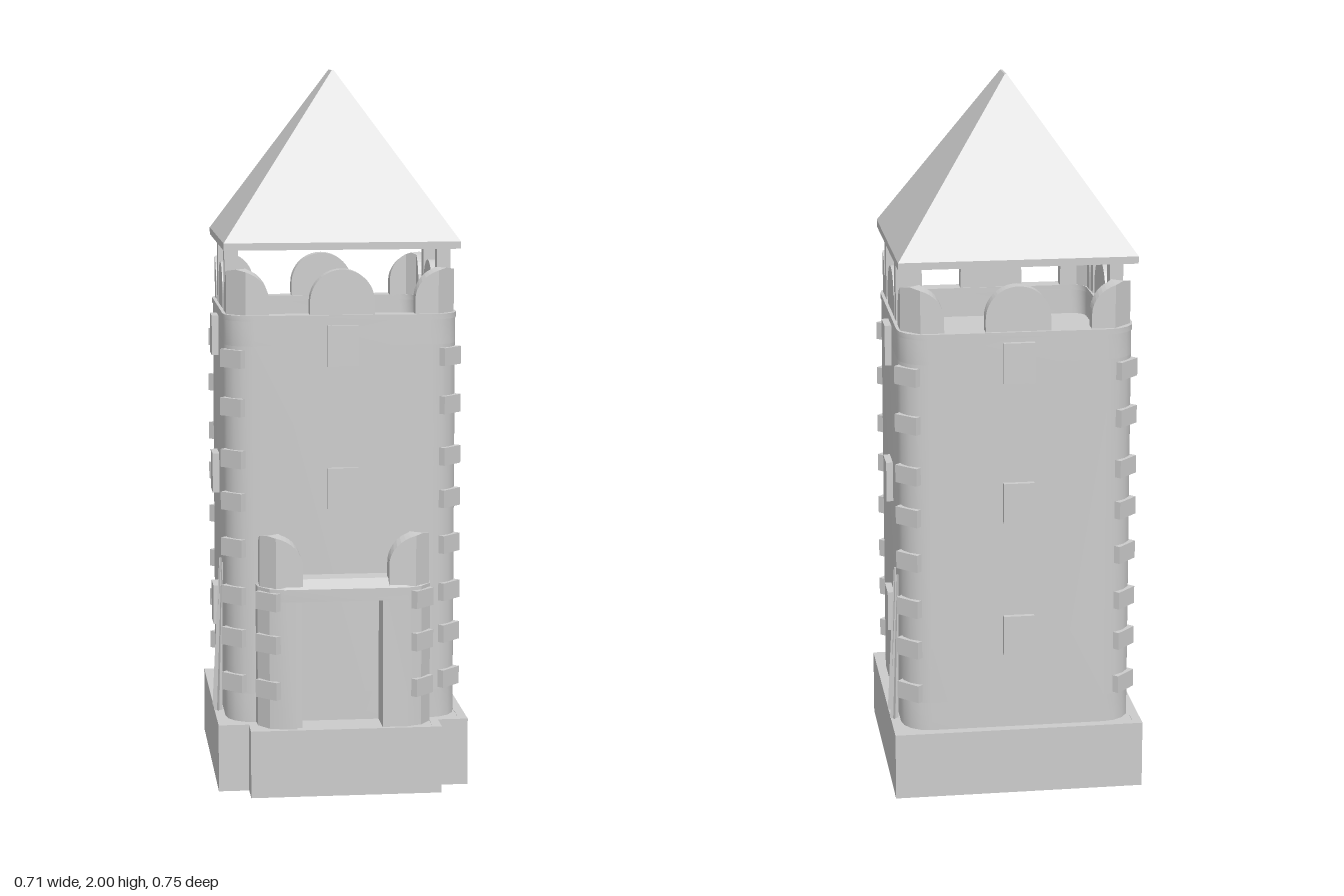
import * as THREE from 'three';
import { toCreasedNormals } from 'three/addons/utils/BufferGeometryUtils.js';

const mat = new THREE.MeshStandardMaterial({ color: 0xcccccc });
const shellMat = new THREE.MeshStandardMaterial({ color: 0xcccccc, side: THREE.DoubleSide });
const CZ = -0.04; // tower centre in z

function add(parent, name, geometry, x = 0, y = 0, z = 0, material = mat) {
  const mesh = new THREE.Mesh(geometry, material);
  mesh.name = name;
  mesh.position.set(x, y, z);
  parent.add(mesh);
  return mesh;
}

const box = (parent, name, x0, x1, y0, y1, z0, z1) =>
  add(parent, name, new THREE.BoxGeometry(x1 - x0, y1 - y0, z1 - z0),
    (x0 + x1) / 2, (y0 + y1) / 2, (z0 + z1) / 2);

// Hard-edged copy of an indexed geometry
function faceted(geo) {
  const flat = geo.toNonIndexed();
  flat.computeVertexNormals();
  return flat;
}

// Plan outlines are [x, z] points, all turned the same way round
function toPts(plan) {
  const pts = plan.map(([x, z]) => new THREE.Vector2(x, -z));
  return THREE.ShapeUtils.isClockWise(pts) ? pts.reverse() : pts;
}

// Outline extruded upward from y0 to y1
function slab(parent, name, plan, y0, y1, hole) {
  const shape = new THREE.Shape(toPts(plan));
  if (hole) shape.holes.push(new THREE.Path(toPts(hole)));
  const geo = new THREE.ExtrudeGeometry(shape, { depth: y1 - y0, bevelEnabled: false });
  geo.rotateX(-Math.PI / 2);
  return add(parent, name, toCreasedNormals(geo, 0.5), 0, y0, 0);
}

// Rectangle with rounded corners, centred on the tower
function roundedPlan(hx, hz, r) {
  const pts = [];
  for (let q = 0; q < 4; q++)
    for (let i = 0; i <= 4; i++) {
      const a = (q + i / 4) * Math.PI / 2;
      const sx = q === 0 || q === 3 ? 1 : -1, sz = q < 2 ? 1 : -1;
      pts.push([sx * (hx - r) + r * Math.cos(a), CZ + sz * (hz - r) + r * Math.sin(a)]);
    }
  return pts;
}

const mirrored = (pts) => pts.map(([x, z]) => [-x, z]).reverse();

// Stepped base outline, inset by d
function basePlan(d) {
  const half = [[0.352 - d, -0.375 + d], [0.352 - d, 0.295 - d], [0.267 - d, 0.295 - d], [0.267 - d, 0.372 - d]];
  return [...half, ...mirrored(half)];
}

// Right half of the porch outline
const porchSide = [[0.245, 0.255], [0.242, 0.3], [0.212, 0.342], [0.172, 0.36]];
const porchPlan = [...porchSide, ...mirrored(porchSide)];

// Arched merlon folded around a chamfered corner whose sharp corner lies at the origin
function cornerMerlonGeometry(c, leg, thick, low, arc) {
  const k = 0.414 * thick, n = 8, sections = [];
  const fold = c * Math.SQRT1_2, span = fold + leg;
  const height = (s) => low + arc * Math.sqrt(Math.max(0, 1 - (s / span) ** 2));
  for (let i = 0; i <= n; i++) {
    const t = Math.cos((i / n) * Math.PI / 2);
    sections.push([-c - leg * t, 0, -c - k - Math.max(0, leg - k) * t, -thick, height(fold + leg * t)]);
  }
  const m = -(c + k + thick) / 2;
  const other = sections.map(([ox, oz, ix, iz, h]) => [oz, ox, iz, ix, h]).reverse();
  sections.push([-c / 2, -c / 2, m, m, height(0)], ...other);
  const pos = [], index = [];
  for (const [ox, oz, ix, iz, h] of sections)
    pos.push(ox, 0, oz, ox, h, oz, ix, h, iz, ix, 0, iz);
  for (let i = 0; i < sections.length - 1; i++)
    for (let j = 0; j < 4; j++) {
      const a = i * 4 + j, b = i * 4 + (j + 1) % 4;
      index.push(a, a + 4, b + 4, a, b + 4, b);
    }
  const e = (sections.length - 1) * 4;
  index.push(3, 0, 1, 3, 1, 2, e, e + 3, e + 2, e, e + 2, e + 1);
  const geo = new THREE.BufferGeometry();
  geo.setAttribute('position', new THREE.Float32BufferAttribute(pos, 3));
  geo.setIndex(index);
  return faceted(geo);
}

// Straight arched merlon
function merlonGeometry(half, low, thick) {
  const s = new THREE.Shape();
  s.moveTo(-half, 0);
  s.lineTo(half, 0);
  s.lineTo(half, low);
  s.absarc(0, low, half, 0, Math.PI, false);
  s.closePath();
  const geo = new THREE.ExtrudeGeometry(s, { depth: thick, bevelEnabled: false, curveSegments: 16 });
  return geo.translate(0, 0, -thick);
}

// Column of corner stones set diagonally
function quoins(parent, name, x, z, turn, levels) {
  for (const y of levels)
    add(parent, name, new THREE.BoxGeometry(0.075, 0.05, 0.03), x, y, z).rotation.y = turn * Math.PI / 4;
}

export function createModel() {
  const model = new THREE.Group();
  const outer = roundedPlan(0.325, 0.305, 0.08), inner = roundedPlan(0.275, 0.255, 0.04);

  // Hollow stepped base with a ledge on top
  slab(model, 'baseWall', basePlan(0), 0, 0.19, basePlan(0.025));
  slab(model, 'baseLedge', basePlan(0.01), 0.175, 0.189, inner);

  // Tower, open underneath, with a sunken lookout floor
  slab(model, 'towerFoot', outer, 0.18, 0.27, inner);
  slab(model, 'towerBody', outer, 0.27, 1.25);
  slab(model, 'parapet', outer, 1.25, 1.32, inner);
  slab(model, 'parapetRim', roundedPlan(0.327, 0.307, 0.08), 1.32, 1.335, inner);

  // Porch with a door opening
  const [dl, dr] = [-0.137, 0.102];
  slab(model, 'porchLeft', [...porchSide, [dr, 0.36], [dr, 0.255]], 0.18, 0.55);
  slab(model, 'porchRight', [[dl, 0.255], [dl, 0.36], ...mirrored(porchSide)], 0.18, 0.55);
  slab(model, 'porchLintel', porchPlan, 0.55, 0.585);
  box(model, 'doorLeaf', dl, dl + 0.016, 0.19, 0.55, 0.26, 0.345);

  // Porch roof with sloping edges
  const cap = slab(model, 'porchRoof', porchPlan, 0.585, 0.608);
  const cp = cap.geometry.attributes.position;
  for (let i = 0; i < cp.count; i++)
    if (cp.getY(i) > 0.01) cp.setXYZ(i, cp.getX(i) * 0.86, cp.getY(i), 0.255 + (cp.getZ(i) - 0.255) * 0.7);
  cap.geometry.computeVertexNormals();

  // Quoins
  const levels = [0.3, 0.43, 0.55, 0.685, 0.815, 0.935, 1.08, 1.215];
  for (const sx of [-1, 1]) {
    for (const sz of [-1, 1])
      quoins(model, 'towerQuoin', sx * 0.3, CZ + sz * 0.276, sx * sz, levels);
    quoins(model, 'porchQuoin', sx * 0.212, 0.332, sx, levels.slice(0, 3));
  }

  // Corner merlons
  const cornerGeo = cornerMerlonGeometry(0.05, 0.065, 0.04, 0.045, 0.085);
  const porchGeo = cornerMerlonGeometry(0.042, 0.075, 0.045, 0.06, 0.085);
  for (const sx of [-1, 1]) {
    for (const sz of [-1, 1])
      add(model, 'cornerMerlon', cornerGeo, sx * 0.318, 1.33, CZ + sz * 0.295).scale.set(sx, 1, sz);
    add(model, 'porchMerlon', porchGeo, sx * 0.237, 0.587, 0.352).scale.x = sx;
  }

  // Middle merlons and window panels on each face
  const merlonGeo = merlonGeometry(0.09, 0.042, 0.04);
  const rows = [0.465, 0.852, 1.25];
  const faces = [
    { angle: 0, x: 0, z: 0.265, windows: rows.slice(1), out: 0.012 },
    { angle: Math.PI, x: 0, z: -0.345, windows: rows, out: 0.015 },
    { angle: Math.PI / 2, x: 0.325, z: -0.065, windows: rows, out: 0.019 },
    { angle: -Math.PI / 2, x: -0.325, z: -0.065, windows: rows, out: 0.019 },
  ];
  for (const f of faces) {
    const side = new THREE.Group();
    side.name = 'towerFace';
    side.position.set(f.x, 0, f.z);
    side.rotation.y = f.angle;
    model.add(side);
    add(side, 'merlon', merlonGeo, -Math.sign(f.x) * 0.035, 1.328, -0.007);
    for (const y of f.windows) box(side, 'windowPanel', -0.043, 0.043, y - 0.057, y + 0.057, -0.01, f.out);
  }

  // Roof posts
  for (const x of [-0.299, 0.299])
    for (const z of [0.119, -0.153])
      box(model, 'roofPost', x - 0.019, x + 0.019, 1.25, 1.53, z - 0.021, z + 0.021);

  // Hollow hipped roof with a short ridge and a straight eave band
  const roof = new THREE.CylinderGeometry(1, 1, 1, 4, 2, true, Math.PI / 4);
  const rp = roof.attributes.position;
  for (let i = 0; i < rp.count; i++) {
    const y = rp.getY(i), top = y > 0.1;
    rp.setXYZ(i, Math.sign(rp.getX(i)) * (top ? 0.003 : 0.328), top ? 2 : y < -0.1 ? 1.515 : 1.535,
      -0.041 + Math.sign(rp.getZ(i)) * (top ? 0.046 : 0.305));
  }
  add(model, 'roof', faceted(roof), 0, 0, 0, shellMat);
  // Ridge cap closing the gap along the top
  box(model, 'roofRidge', -0.003, 0.003, 1.995, 2, -0.087, 0.005);

  // Thin tapering spikes climbing the side walls, star-shaped in plan
  const spike = new THREE.CylinderGeometry(0.003, 0.012, 0.43, 8, 1);
  const sp = spike.attributes.position;
  for (let i = 0; i < sp.count; i++) {
    const x = sp.getX(i), z = sp.getZ(i);
    const pull = Math.abs(x * z) > 1e-6 ? 0.4 : 1;
    sp.setX(i, x * pull - (sp.getY(i) > 0 ? 0.013 : 0));
    sp.setZ(i, z * pull);
  }
  const spikeGeo = faceted(spike);
  for (const [sx, z] of [[1, -0.24], [1, -0.175], [-1, 0.058], [-1, 0.122]])
    add(model, 'wallSpike', spikeGeo, sx * 0.342, 0.405, z).rotation.y = sx > 0 ? 0 : Math.PI;

  return model;
}
